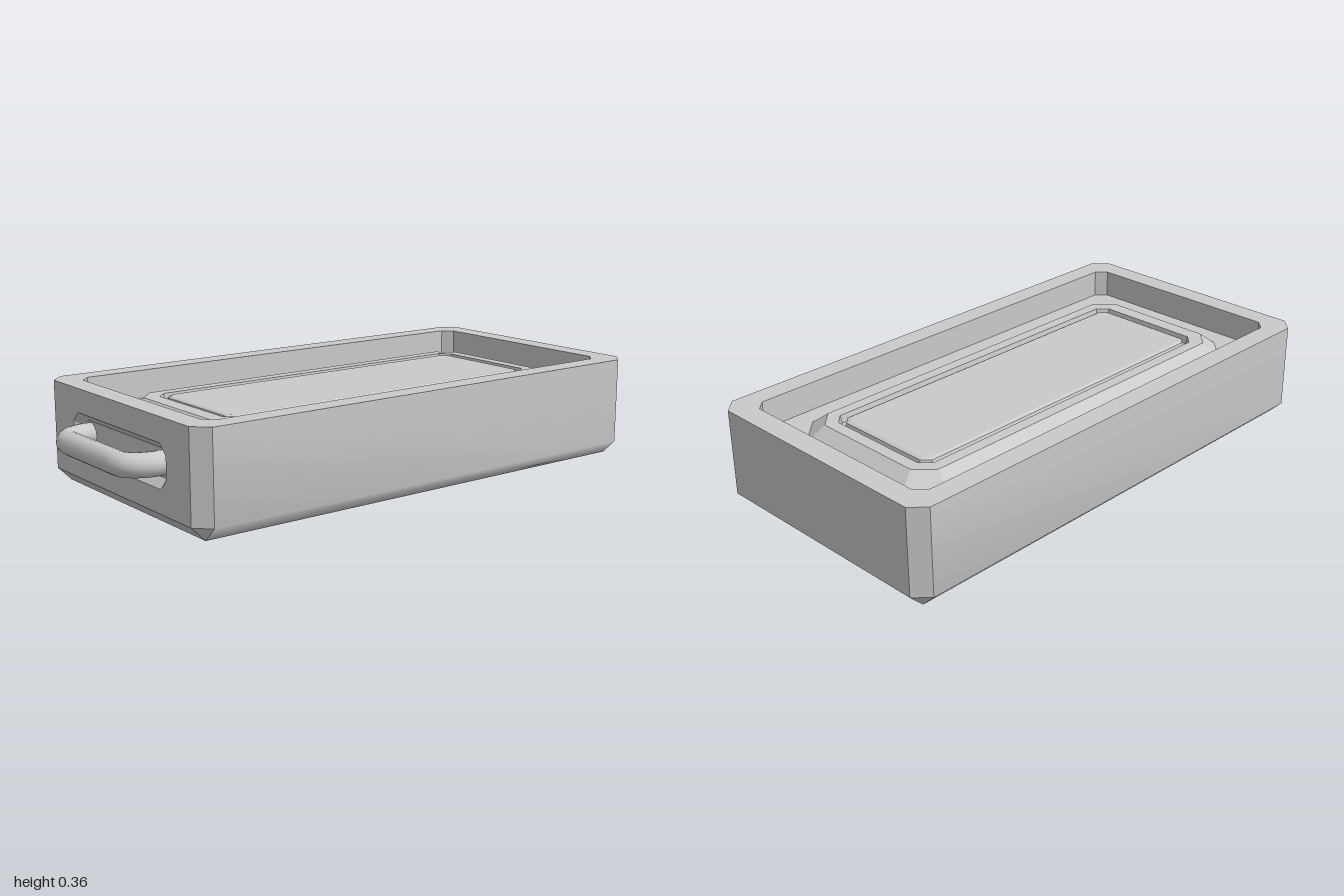
import * as THREE from 'three';

// Rectangle with cut corners, counter-clockwise: u0..u1 by v0..v1 at height h
const ring = (u0, u1, v0, v1, cut, h) => [
  [u1, v0 + cut, h], [u1, v1 - cut, h], [u1 - cut, v1, h], [u0 + cut, v1, h],
  [u0, v1 - cut, h], [u0, v0 + cut, h], [u0 + cut, v0, h], [u1 - cut, v0, h],
];

// Flat-faced skin through successive rings; skip[i] lists sides left open in band i
function skin(rings, map, skip = {}) {
  const pos = [];
  const tri = (...pts) => {
    const v = pts.map((p) => new THREE.Vector3(...map(p)));
    if (new THREE.Triangle(...v).getArea() > 1e-7) v.forEach((p) => pos.push(p.x, p.y, p.z));
  };
  for (let r = 0; r < rings.length - 1; r++) {
    const a = rings[r], b = rings[r + 1];
    for (let i = 0; i < 8; i++) {
      if (skip[r]?.includes(i)) continue;
      const j = (i + 1) % 8;
      tri(a[i], a[j], b[j]);
      tri(a[i], b[j], b[i]);
    }
  }
  const c = rings[rings.length - 1];
  for (let i = 1; i < 7; i++) tri(c[0], c[i], c[i + 1]);
  const g = new THREE.BufferGeometry();
  g.setAttribute('position', new THREE.Float32BufferAttribute(pos, 3));
  g.computeVertexNormals();
  return g;
}

export function createModel() {
  const group = new THREE.Group();
  const grey = new THREE.MeshStandardMaterial({ color: 0xcacaca });
  grey.name = 'plain grey';
  const add = (name, geometry) => {
    const mesh = new THREE.Mesh(geometry, grey);
    mesh.name = name;
    group.add(mesh);
  };

  // Ends, corners, rim and tray floor with its raised border, groove and centre panel
  const level = (hw, back, front, cut, y) => ring(-hw, hw, -front, -back, cut, y);
  add('trayBody', skin([
    level(0.436, -0.95, 0.824, 0, 0),
    level(0.487, -1, 0.874, 0.05, 0.05),
    level(0.487, -1, 0.874, 0.05, 0.36),
    level(0.41, -0.92, 0.795, 0.035, 0.36),
    level(0.41, -0.92, 0.795, 0.035, 0.26),
    level(0.335, -0.845, 0.715, 0.1, 0.26),
    level(0.272, -0.785, 0.655, 0.06, 0.308),
    level(0.23, -0.742, 0.6, 0.035, 0.308),
    level(0.226, -0.737, 0.595, 0.033, 0.28),
    level(0.214, -0.725, 0.583, 0.028, 0.28),
    level(0.208, -0.72, 0.578, 0.026, 0.303),
    level(0.198, -0.708, 0.568, 0.022, 0.308),
  ], ([u, v, h]) => [u, h, -v], { 0: [0, 4], 1: [0, 4, 6] }));

  // Long sides and underside, one smooth strip
  const profile = [[-0.487, 0.36], [-0.487, 0.05], [-0.436, 0], [0.436, 0], [0.487, 0.05], [0.487, 0.36]];
  const pos = [], idx = [];
  profile.forEach(([x, y], i) => {
    pos.push(x, y, -0.95, x, y, 0.824);
    const k = 2 * i;
    if (i < profile.length - 1) idx.push(k, k + 2, k + 3, k, k + 3, k + 1);
  });
  const sides = new THREE.BufferGeometry();
  sides.setAttribute('position', new THREE.Float32BufferAttribute(pos, 3));
  sides.setIndex(idx);
  sides.computeVertexNormals();
  add('sidesAndBase', sides);

  // Front face with the bevelled grip recess
  add('frontFace', skin([
    ring(-0.437, 0.437, 0.05, 0.36, 0, 0.874),
    ring(-0.3, 0.3, 0.13, 0.277, 0.035, 0.874),
    ring(-0.274, 0.274, 0.157, 0.25, 0.024, 0.845),
  ], (p) => p));

  // Bent bar handle
  const at = (x, z) => new THREE.Vector3(x, 0.205, z);
  const path = new THREE.CurvePath();
  path.add(new THREE.LineCurve3(at(-0.234, 0.83), at(-0.234, 0.88)));
  path.add(new THREE.QuadraticBezierCurve3(at(-0.234, 0.88), at(-0.215, 0.96), at(-0.155, 0.96)));
  path.add(new THREE.LineCurve3(at(-0.155, 0.96), at(0.155, 0.96)));
  path.add(new THREE.QuadraticBezierCurve3(at(0.155, 0.96), at(0.215, 0.96), at(0.234, 0.88)));
  path.add(new THREE.LineCurve3(at(0.234, 0.88), at(0.234, 0.83)));
  add('handle', new THREE.TubeGeometry(path, 40, 0.04, 16));

  return group;
}
